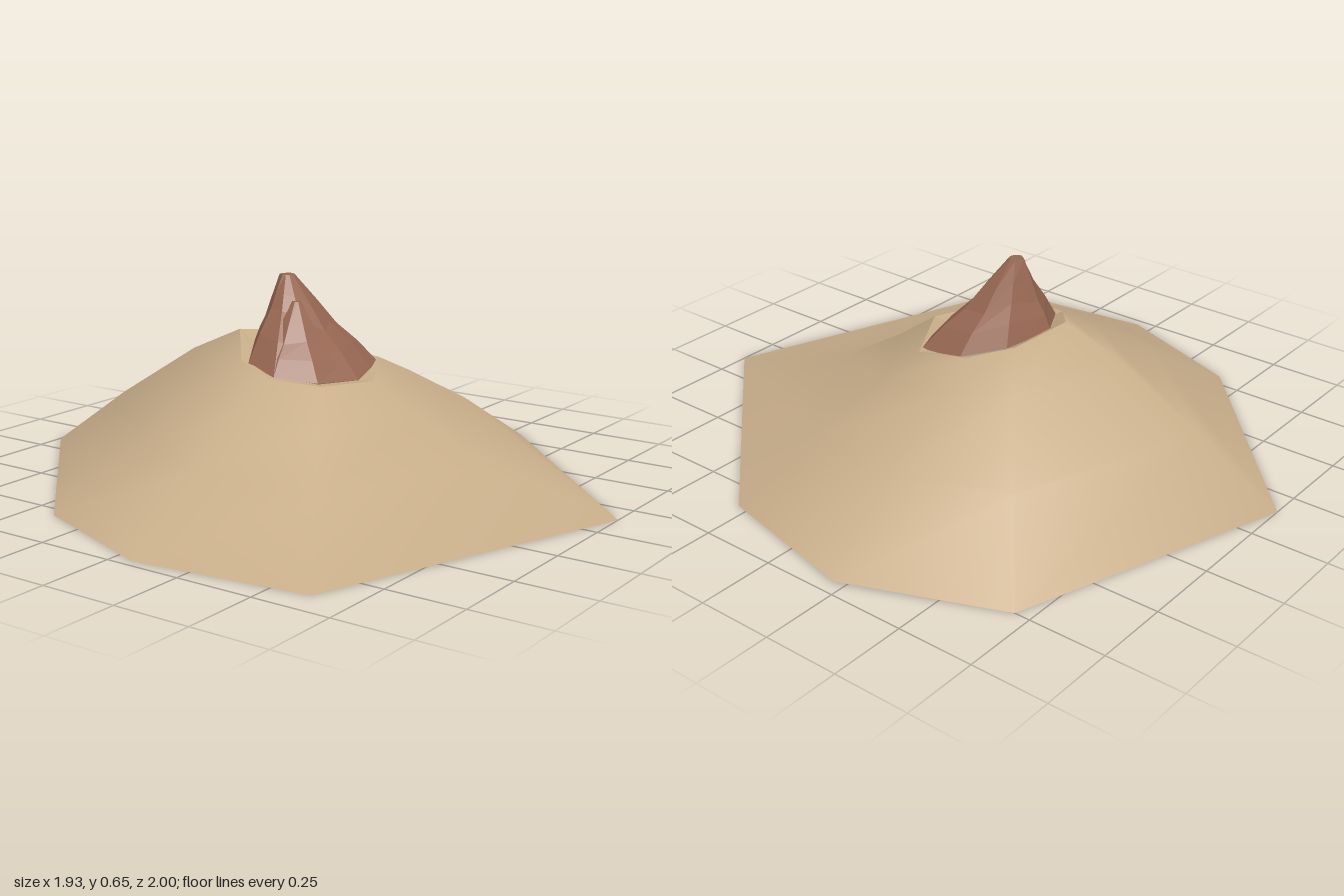
import * as THREE from 'three';

const lerp = THREE.MathUtils.lerp;

// Skin a stack of closed rings (bottom to top, each running clockwise seen from above)
function loft(rings, material, name, { flat = false, cap = false } = {}) {
  const n = rings[0].length;
  const index = [];
  for (let r = 0; r < rings.length - 1; r++) {
    for (let i = 0; i < n; i++) {
      const j = (i + 1) % n;
      const a = r * n + i, b = r * n + j, c = b + n, d = a + n;
      index.push(b, a, d, b, d, c);
    }
  }
  if (cap) {
    const o = (rings.length - 1) * n;
    for (let i = 1; i < n - 1; i++) index.push(o, o + i + 1, o + i);
  }
  let geo = new THREE.BufferGeometry();
  geo.setAttribute('position', new THREE.Float32BufferAttribute(rings.flat(2), 3));
  geo.setIndex(index);
  if (flat) geo = geo.toNonIndexed();
  geo.computeVertexNormals();
  const mesh = new THREE.Mesh(geo, material);
  mesh.name = name;
  return mesh;
}

// Rock spire: foot ring, pinched waist (one inward amount per foot point), tiny flat tip
function spire(foot, waist, tip, tipRadius, material, name) {
  const top = foot.map(([x, , z]) => {
    const l = Math.hypot(x - tip[0], z - tip[2]);
    return [tip[0] + (x - tip[0]) / l * tipRadius, tip[1], tip[2] + (z - tip[2]) / l * tipRadius];
  });
  const ringAt = (f, drop) => foot.map((p, i) => {
    const t = f(waist[i]);
    return [lerp(p[0], top[i][0], t), lerp(p[1], top[i][1], t - drop), lerp(p[2], top[i][2], t)];
  });
  const low = ringAt((w) => w * 0.5, 0);
  const mid = ringAt((w) => w, 0.05);
  const high = ringAt((w) => 0.45 + w * 0.55, 0.02);
  return loft([foot, low, mid, high, top], material, name, { flat: true, cap: true });
}

export function createModel() {
  const group = new THREE.Group();
  group.name = 'rockyMound';

  const sand = new THREE.MeshStandardMaterial({ color: 0xc8ae8a });
  sand.name = 'sand';
  sand.side = THREE.DoubleSide;
  const rock = new THREE.MeshStandardMaterial({ color: 0x976752 });
  rock.name = 'redRock';
  rock.side = THREE.DoubleSide;

  // Mound spokes: base x, y, z | lower bend t, y | upper bend t, y | rim x, y, z
  const spokes = [
    [-0.15, 0, -1.0, 0.375, 0.2, 0.76, 0.38, -0.04, 0.46, -0.28],
    [0.75, 0, -0.7, 0.4, 0.19, 0.78, 0.36, 0.15, 0.43, -0.23],
    [0.96, 0.01, -0.22, 0.39, 0.2, 0.8, 0.32, 0.23, 0.385, -0.1],
    [0.84, 0, 0.29, 0.41, 0.17, 0.8, 0.3, 0.25, 0.36, 0.07],
    [0.14, 0, 1.0, 0.54, 0.11, 0.83, 0.25, 0, 0.345, 0.22],
    [-0.9, 0, 0.62, 0.5, 0.13, 0.8, 0.27, -0.18, 0.35, 0.14],
    [-0.97, 0, 0.06, 0.45, 0.17, 0.8, 0.3, -0.25, 0.37, 0],
    [-0.8, 0, -0.4, 0.45, 0.18, 0.8, 0.32, -0.2, 0.4, -0.15],
  ];
  const bend = (k) => spokes.map((s) => [lerp(s[0], s[7], s[k]), s[k + 1], lerp(s[2], s[9], s[k])]);
  const base = spokes.map((s) => s.slice(0, 3));
  const rim = spokes.map((s) => s.slice(7));
  group.add(loft([base, bend(3), bend(5), rim], sand, 'mound'));

  // Narrow ledge sloping in from the rim to just under the rock
  const ledge = rim.map(([x, y, z]) => [x * 0.78, y - Math.max(0, -z) * 0.15 - 0.005, z * 0.74]);
  group.add(loft([rim, ledge], sand, 'rimLedge', { flat: true }));

  // Main peak
  const mainFoot = [
    [-0.03, 0.42, -0.23], [0.14, 0.41, -0.19], [0.22, 0.375, -0.07],
    [0.22, 0.35, 0.09], [0.13, 0.345, 0.13], [0, 0.34, 0.16],
    [-0.15, 0.35, 0.11], [-0.23, 0.37, 0], [-0.19, 0.39, -0.13],
  ];
  group.add(spire(mainFoot, [0.45, 0.55, 0.48, 0.5, 0.56, 0.5, 0.64, 0.68, 0.66],
    [0.01, 0.65, -0.125], 0.024, rock, 'mainPeak'));

  // Smaller peak leaning on the main one
  const sideFoot = [
    [-0.08, 0.45, -0.12], [-0.03, 0.41, 0], [-0.04, 0.345, 0.14],
    [-0.15, 0.35, 0.11], [-0.23, 0.37, 0], [-0.2, 0.385, -0.1],
  ];
  group.add(spire(sideFoot, [0.5, 0.5, 0.5, 0.55, 0.47, 0.5],
    [-0.048, 0.578, -0.045], 0.014, rock, 'sidePeak'));

  return group;
}
